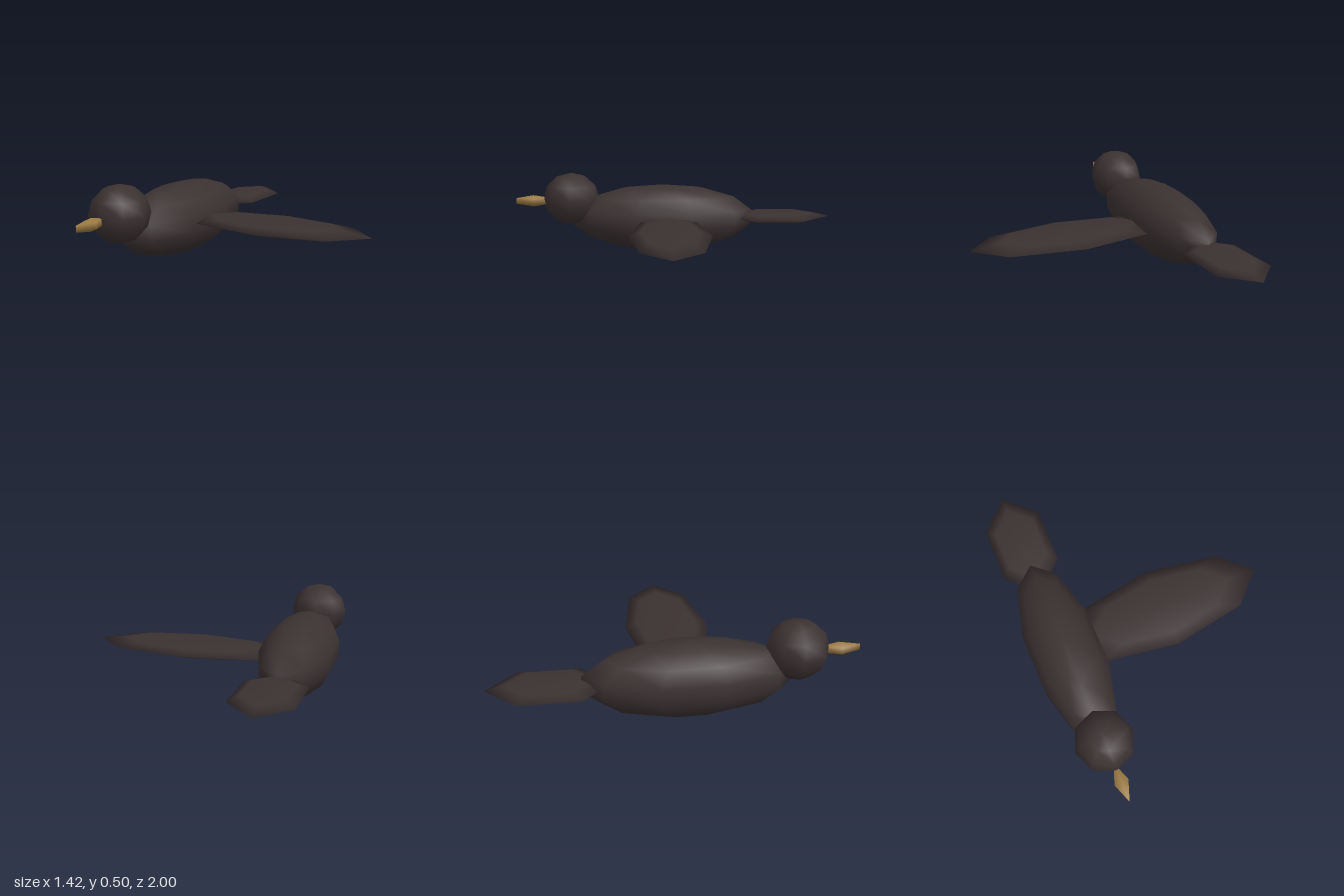
import * as THREE from 'three';

const plumage = new THREE.MeshStandardMaterial({ color: 0x3b3131 });
plumage.name = 'dark plumage';
const horn = new THREE.MeshStandardMaterial({ color: 0x9c7a42 });
horn.name = 'ochre beak';

// Smooth, coarse ellipsoid whose long axis starts on a vertex.
// radii are (along its own x, y, z); alongZ turns the long axis to the z direction.
function ellipsoid(name, material, [sides, rows], radii, position, alongZ) {
  const mesh = new THREE.Mesh(new THREE.SphereGeometry(1, sides, rows), material);
  mesh.name = name;
  mesh.scale.set(...radii);
  mesh.position.set(...position);
  if (alongZ) mesh.rotation.y = -Math.PI / 2;
  return mesh;
}

export function createModel() {
  const bird = new THREE.Group();
  bird.name = 'bird';
  const x = -0.513; // the spine is off centre because only one wing is spread

  bird.add(
    ellipsoid('body', plumage, [10, 7], [0.585, 0.212, 0.2125], [x, 0.216, 0.07], true),
    ellipsoid('head', plumage, [8, 6], [0.177, 0.165, 0.167], [x, 0.34, 0.65], true),
    ellipsoid('beak', horn, [4, 3], [0.127, 0.036, 0.046], [x, 0.326, 0.89], true),
    ellipsoid('tail', plumage, [6, 4], [0.333, 0.035, 0.196], [x, 0.217, -0.667], true),
    ellipsoid('leftWing', plumage, [8, 4], [0.606, 0.035, 0.243], [0.1, 0.217, 0.035], false)
  );
  return bird;
}
